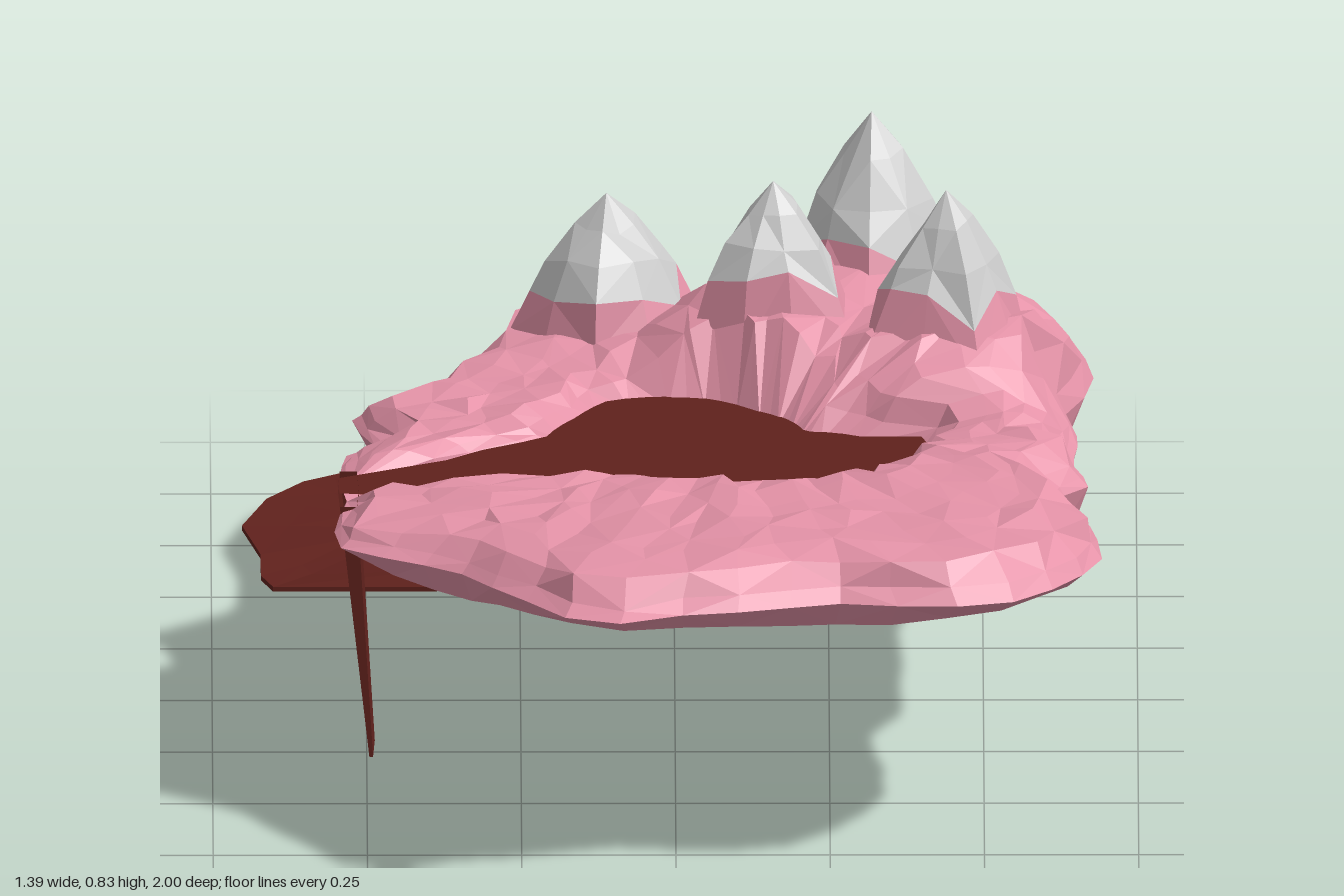
import * as THREE from 'three';

const PINK = 0xe593a8, WATER = 0x5f211c, GREY = 0xcccccc;
const N = 60, CX = 0.1, CZ = 0.1;

// Island coast and lake shore as [x, z]
const COAST = [[0.06, -0.76], [0.3, -0.75], [0.5, -0.7], [0.65, -0.6], [0.68, -0.43], [0.63, -0.2], [0.64, 0.08],
  [0.67, 0.23], [0.6, 0.3], [0.65, 0.45], [0.7, 0.57], [0.68, 0.68], [0.56, 0.87], [0.46, 0.9], [0.25, 0.88],
  [0, 0.95], [-0.1, 1], [-0.2, 0.95], [-0.25, 0.85], [-0.36, 0.69], [-0.55, 0.56], [-0.55, 0.43], [-0.53, 0.32],
  [-0.54, 0.2], [-0.53, 0.02], [-0.48, -0.03], [-0.53, -0.17], [-0.42, -0.26], [-0.36, -0.38], [-0.28, -0.57],
  [-0.2, -0.7], [-0.07, -0.75]];
const SHORE = [[-0.54, 0.2], [-0.38, 0.17], [-0.2, 0.05], [-0.15, -0.05], [-0.1, -0.13], [0.05, -0.14], [0.13, -0.08],
  [0.2, 0.02], [0.29, 0.04], [0.4, 0.04], [0.37, 0.15], [0.3, 0.27], [0.15, 0.34], [0, 0.32], [-0.05, 0.26],
  [-0.2, 0.27], [-0.3, 0.3], [-0.53, 0.34]];

// Height profiles as [position, y]
const PLATEAU = [[-0.75, 0.42], [-0.6, 0.49], [-0.3, 0.51], [0, 0.505], [0.4, 0.535], [0.9, 0.555], [0.96, 0.535], [1, 0.5]];
const RIM = [[-0.75, 0.385], [-0.3, 0.41], [0, 0.43], [0.3, 0.45], [0.5, 0.46], [1, 0.485]];
const KEEL_Z = [[-0.75, 0.37], [-0.6, 0.29], [-0.45, 0.2], [-0.3, 0.15], [-0.13, 0.11], [0, 0.13], [0.1, 0.17],
  [0.2, 0.25], [0.35, 0.32], [0.7, 0.4], [1, 0.47]];
const KEEL_X = [[-0.55, 0.45], [-0.45, 0.34], [-0.3, 0.27], [-0.1, 0.14], [0, 0.11], [0.3, 0.14], [0.47, 0.21],
  [0.55, 0.29], [0.65, 0.35], [0.7, 0.43]];

// Mountains: x, peak y, z, cap edge y, cap radius, foot radius, swell of the ground around them
const PEAKS = [[-0.11, 0.72, -0.43, 0.56, 0.125, 0.17, 0.02], [0.16, 0.79, -0.29, 0.635, 0.11, 0.17, 0.09],
  [0.32, 0.835, -0.5, 0.615, 0.13, 0.2, 0.1], [0.44, 0.81, -0.19, 0.63, 0.11, 0.17, 0.09]];

function interp(table, v) {
  if (v <= table[0][0]) return table[0][1];
  for (let i = 1; i < table.length; i++) {
    const [a, ya] = table[i - 1], [b, yb] = table[i];
    if (v <= b) return ya + (yb - ya) * (v - a) / (b - a);
  }
  return table[table.length - 1][1];
}

// Repeatable noise in -1..1
const noise = (a, b) => {
  const s = Math.sin(a * 127.1 + b * 311.7) * 43758.5453;
  return (s - Math.floor(s)) * 2 - 1;
};
const smooth = (v) => THREE.MathUtils.smoothstep(v, 0, 1);
const swell = (x, z) => Math.max(...PEAKS.map(([px, , pz, , , , h]) => h * smooth((0.27 - Math.hypot(x - px, z - pz)) / 0.16)));

// Radius of a closed outline as a function of angle
function radial(points) {
  const t = points.map(([x, z]) => [Math.atan2(z - CZ, x - CX), Math.hypot(x - CX, z - CZ)]).sort((a, b) => a[0] - b[0]);
  const first = t[0], last = t[t.length - 1], turn = Math.PI * 2;
  return [[last[0] - turn, last[1]], ...t, [first[0] + turn, first[1]]];
}

// Skin between rings with equal point counts, ordered top to bottom on the outside
function skin(name, rings, color, side = THREE.FrontSide) {
  const pos = [];
  const tri = (...ps) => ps.forEach((p) => pos.push(p.x, p.y, p.z));
  for (let i = 0; i + 1 < rings.length; i++) {
    const a = rings[i], b = rings[i + 1], n = a.length;
    for (let j = 0; j < n; j++) {
      const k = (j + 1) % n;
      if ((i + j) % 2) { tri(a[j], a[k], b[j]); tri(a[k], b[k], b[j]); }
      else { tri(a[j], a[k], b[k]); tri(a[j], b[k], b[j]); }
    }
  }
  const g = new THREE.BufferGeometry();
  g.setAttribute('position', new THREE.Float32BufferAttribute(pos, 3));
  g.computeVertexNormals();
  const mesh = new THREE.Mesh(g, new THREE.MeshStandardMaterial({ color, flatShading: true, side }));
  mesh.name = name;
  return mesh;
}

const coast = radial(COAST), shore = radial(SHORE);
const angles = Array.from({ length: N }, (_, j) => -Math.PI + (j / N) * Math.PI * 2);
const at = (a, r, y) => new THREE.Vector3(CX + Math.cos(a) * r, y, CZ + Math.sin(a) * r);
const shoreR = (a) => Math.min(interp(shore, a), interp(coast, a));

// Upper ground: bank, plateau with mountain swells, and drop to the rim
function land() {
  const rings = [angles.map((a) => at(a, shoreR(a) * 0.9, 0.44))];
  for (const f of [0, 0.12, 0.24, 0.38, 0.52, 0.66, 0.79, 0.9, 0.96, 1]) {
    rings.push(angles.map((a, j) => {
      const r0 = shoreR(a), r1 = interp(coast, a), r = r0 + (r1 - r0) * f;
      const d = r - r0, e = r1 - r, k = Math.min(1, Math.min(d, e) / 0.07);
      const p = at(a, r + 0.022 * k * noise(j, f), 0);
      p.x += 0.015 * k * noise(f, j + 5);
      const rim = interp(RIM, p.z);
      const top = interp(PLATEAU, p.z) + 0.06 * Math.min(0, p.x - 0.1) + swell(p.x, p.z) + 0.008 * k * noise(j + 9, f + 3);
      const bank = 0.45 + (top - 0.45) * smooth((d + 0.01) / 0.1);
      p.y = rim + (bank - rim) * smooth(e / 0.1 + (f < 1 ? 0.15 : 0));
      return p;
    }));
  }
  return skin('islandTop', rings, PINK);
}

// Rocky underside, shrinking from the rim to the keel
function underside() {
  const rings = [0, 0.04, 0.12, 0.23, 0.35, 0.48, 0.6, 0.72, 0.84, 1].map((s) => angles.map((a, j) => {
    const p = at(a, interp(coast, a), 0);
    const rim = interp(RIM, p.z);
    p.lerp(new THREE.Vector3(0.04, 0, -0.13), s);
    const kx = interp(KEEL_X, p.x) - 0.11, kz = interp(KEEL_Z, p.z) - 0.11;
    const y = 0.11 + Math.cbrt(kx ** 3 + kz ** 3);
    const rough = s > 0 && s < 0.8 ? 0.008 * noise(Math.floor(j / 3), s) : 0;
    p.y = s === 0 ? rim : Math.min(y + rough, rim - 0.015 - 0.1 * Math.min(s, 0.4));
    return p;
  }));
  return skin('islandUnderside', rings, PINK);
}

// Mountain with a jagged grey cap over a pink foot sunk into the ground
function mountain([x, peak, z, capY, capR, footR], seed) {
  const sides = 9, footY = 0.42, group = new THREE.Group();
  const mix = THREE.MathUtils.lerp;
  const ring = (y, r, k, jag) => Array.from({ length: sides }, (_, j) => {
    const a = (j / sides) * Math.PI * 2 + seed;
    const rise = jag * noise(k, j + seed);
    const rr = r * (1 + 0.1 * noise(j + seed, k) + 0.07 * (j % 2 ? 1 : -1)) * (1 - rise * 3);
    return new THREE.Vector3(x + Math.cos(a) * rr, y + rise, z + Math.sin(a) * rr);
  });
  const edge = ring(capY, capR, 3, 0.032);
  group.add(skin('greyCap', [ring(peak, 0, 0, 0), ring(mix(peak, capY, 0.3), capR * 0.36, 1, 0.015),
    ring(mix(peak, capY, 0.65), capR * 0.72, 2, 0.015), edge], GREY));
  group.add(skin('pinkFoot', [edge, ring(mix(capY, footY, 0.5), mix(capR, footR, 0.55), 4, 0.015), ring(footY, footR, 5, 0)], PINK));
  group.name = 'mountain';
  return group;
}

// Flat lake sheet filling the shore and its outlet
function lake() {
  const outline = angles.map((a) => at(a, shoreR(a) + 0.012, 0)).map((p) => new THREE.Vector2(p.x, -p.z));
  const g = new THREE.ShapeGeometry(new THREE.Shape(outline)).rotateX(-Math.PI / 2).translate(0, 0.466, 0);
  const mesh = new THREE.Mesh(g, new THREE.MeshStandardMaterial({ color: WATER, flatShading: true, side: THREE.DoubleSide }));
  mesh.name = 'lake';
  return mesh;
}

// Thin tapering fall from the outlet
function waterfall() {
  const rings = [0, 0.15, 0.35, 0.55, 0.75, 1].map((t) => {
    const x = -0.53 + 0.037 * t, y = 0.468 - 0.43 * t, w = 0.014 - 0.011 * t;
    return [[x + w, 0.21], [x + w + 0.003, 0.3], [x + w, 0.38], [x - w, 0.38], [x - w - 0.003, 0.3], [x - w, 0.21]]
      .map(([px, pz]) => new THREE.Vector3(px, y, pz));
  });
  return skin('waterfall', rings, WATER, THREE.DoubleSide);
}

// Lower pool: thin rippled sheet dipping in the middle, rising to its front corner
function pool() {
  const edge = [[0.04, -0.7], [0.04, -0.55], [0.04, -0.4], [-0.15, -0.4], [-0.4, -0.4], [-0.65, -0.4], [-0.67, -0.46],
    [-0.67, -0.57], [-0.7, -0.72], [-0.66, -0.86], [-0.6, -0.95], [-0.53, -1], [-0.35, -1], [-0.15, -1], [0.04, -1], [0.04, -0.85]];
  const ring = (f, side) => edge.map(([ex, ez], j) => {
    const x = -0.4 + (ex + 0.4) * f, z = -0.8 + (ez + 0.8) * f;
    const rim = 0.034 + 0.035 * Math.max(0, ex + 0.4) + 0.025 * (ez + 1);
    const ripple = f > 0 && f < 1 ? 0.004 * noise(j, f) : 0;
    return new THREE.Vector3(x, 0.008 + (rim - 0.008) * f + side * (0.008 - 0.004 * f) + ripple, z);
  });
  return skin('lowerPool', [ring(0, 1), ring(0.4, 1), ring(0.75, 1), ring(1, 1), ring(1, -1), ring(0.75, -1), ring(0.4, -1), ring(0, -1)], WATER);
}

export function createModel() {
  const model = new THREE.Group();
  model.name = 'floatingIsland';
  model.add(land(), underside(), lake(), waterfall(), pool());
  PEAKS.forEach((peak, i) => model.add(mountain(peak, i + 1)));
  return model;
}
